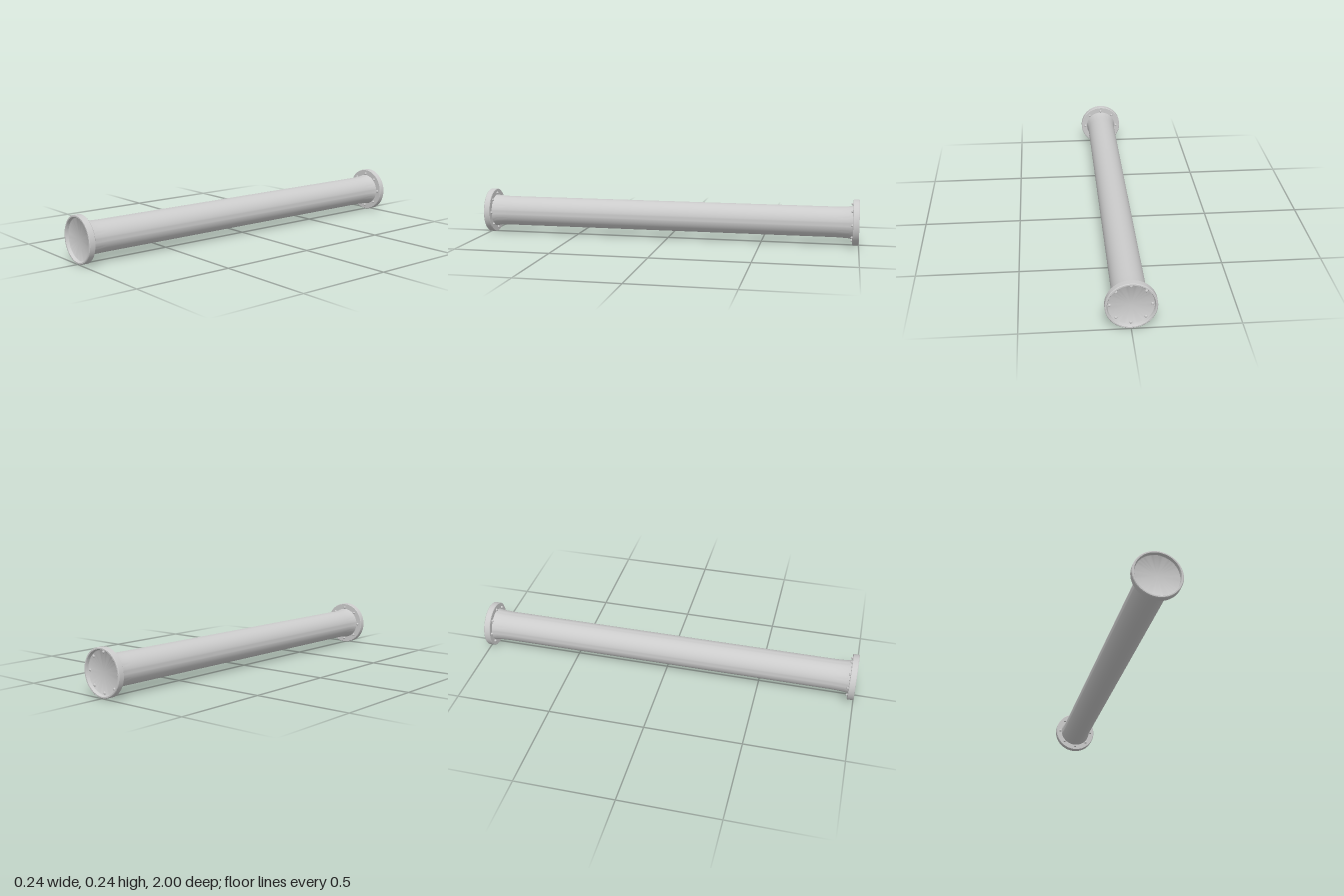
import * as THREE from 'three';
import { toCreasedNormals } from 'three/addons/utils/BufferGeometryUtils.js';

const R = 0.118; // flange radius, also the height of the pipe axis
const BOLTS = 8;
const BOLT_CIRCLE = 0.095;

export function createModel() {
  const model = new THREE.Group();
  model.name = 'flangedPipe';
  const material = new THREE.MeshStandardMaterial({ color: 0xcccccc });

  const add = (parent, name, geometry) => {
    const mesh = new THREE.Mesh(geometry, material);
    mesh.name = name;
    parent.add(mesh);
    return mesh;
  };

  // Surface of revolution about z; profile points are [radius, z], rising in z
  const turned = (profile, segments = 64) => {
    const points = profile.map(([r, z]) => new THREE.Vector2(r, z));
    const geometry = new THREE.LatheGeometry(points, segments).rotateX(Math.PI / 2);
    return toCreasedNormals(geometry, 0.6);
  };

  // Straight pipe whose ends flare gently into the flanges
  const flare = [[0.087, 0.972], [0.085, 0.962], [0.082, 0.945], [0.08, 0.91], [0.079, 0.88]];
  const pipe = add(model, 'pipe', turned([
    ...flare.map(([r, z]) => [r, -z]),
    ...[...flare].reverse(),
  ]));
  pipe.position.y = R;

  // Flange disc with a raised rim around a shallow recessed end face
  const flangeGeometry = turned([
    [0.08, 0.967], [0.115, 0.967], [0.118, 0.970],
    [0.118, 0.997], [0.115, 1.0], [0.109, 1.0],
    [0.107, 0.997], [0.105, 0.985], [0.102, 0.983], [0, 0.983],
  ]);

  // Domed bolt head, and the shorter bolt end that shows in the rear recess
  const dome = (height) => new THREE.SphereGeometry(0.007, 16, 8, 0, Math.PI * 2, 0, Math.PI / 2)
    .scale(1, height / 0.007, 1);
  const headGeometry = dome(0.009).rotateX(-Math.PI / 2);
  const endGeometry = dome(0.005).rotateX(Math.PI / 2);

  for (const side of ['front', 'back']) {
    const end = new THREE.Group();
    end.name = side + 'Flange';
    end.position.y = R;
    if (side === 'back') end.rotation.y = Math.PI;
    add(end, 'flangeDisc', flangeGeometry);

    // Ring of bolts
    for (let i = 0; i < BOLTS; i++) {
      const a = (i / BOLTS) * Math.PI * 2;
      const x = Math.cos(a) * BOLT_CIRCLE;
      const y = Math.sin(a) * BOLT_CIRCLE;
      add(end, 'boltHead', headGeometry).position.set(x, y, 0.967);
      if (side === 'back') add(end, 'boltEnd', endGeometry).position.set(x, y, 0.983);
    }
    model.add(end);
  }
  return model;
}
